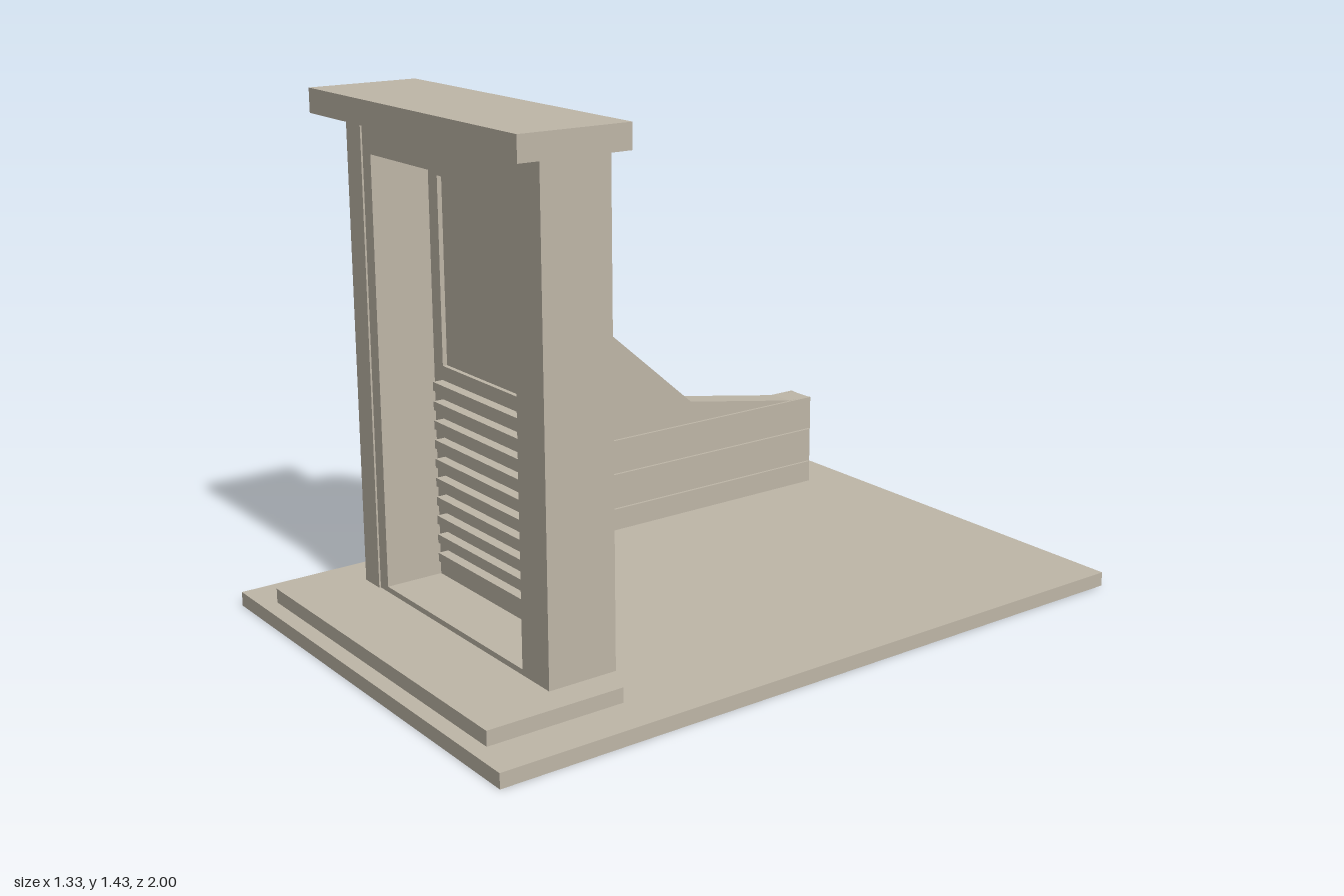
import * as THREE from 'three';

const stone = new THREE.MeshStandardMaterial({ color: 0xbfb7a8 });
stone.name = 'warm grey stone';

export function createModel() {
  const model = new THREE.Group();
  model.name = 'doorwayWithWall';

  const add = (name, geometry, parent = model) => {
    const mesh = new THREE.Mesh(geometry, stone);
    mesh.name = name;
    parent.add(mesh);
    return mesh;
  };
  // Box given by its minimum and maximum on each axis
  const box = (name, [x0, x1], [y0, y1], [z0, z1], parent) =>
    add(name, new THREE.BoxGeometry(x1 - x0, y1 - y0, z1 - z0)
      .translate((x0 + x1) / 2, (y0 + y1) / 2, (z0 + z1) / 2), parent);

  const rectangle = (Kind, x0, x1, y0, y1) => new Kind([
    [x0, y0], [x1, y0], [x1, y1], [x0, y1],
  ].map(([x, y]) => new THREE.Vector2(x, y)));
  // Upright slab with one rectangular opening
  const frame = (name, outer, inner, z0, z1) => {
    const shape = rectangle(THREE.Shape, ...outer);
    shape.holes.push(rectangle(THREE.Path, ...inner));
    return add(name, new THREE.ExtrudeGeometry(shape, { depth: z1 - z0, bevelEnabled: false })
      .translate(0, 0, z0));
  };

  // Ground slab, step and cap
  box('groundSlab', [-0.665, 0.665], [0, 0.04], [-1, 1]);
  box('frontStep', [-0.538, 0.538], [0.04, 0.08], [0.57, 0.955]);
  box('cap', [-0.492, 0.492], [1.365, 1.43], [0.5, 0.81]);

  // Door surround with a deep opening, and the pilaster on its right
  const opening = [-0.335, 0.333, 0.095, 1.27];
  frame('doorSurround', [-0.376, 0.45, 0.08, 1.365], opening, 0.53, 0.725);
  box('pilaster', [-0.45, -0.376], [0.08, 1.365], [0.53, 0.73]);

  // Door leaf with a sunk upper panel
  frame('doorLeaf', opening, [-0.29, 0.29, 0.695, 1.205], 0.53, 0.56);
  box('upperPanel', [-0.29, 0.29], [0.695, 1.205], [0.53, 0.547]);

  // Louvre slats on the lower half of the door
  const louvres = new THREE.Group();
  louvres.name = 'louvres';
  model.add(louvres);
  for (let i = 0; i < 10; i++) {
    const y = 0.162 + i * 0.0535;
    box('slat', [-0.293, 0.293], [y - 0.012, y + 0.012], [0.555, 0.59], louvres);
  }

  // Sweeping side wall, as a (z, y) outline
  const outline = [
    [0.53, 0.07], [0.53, 1.31], [0.4, 1.28], [0.12, 0.81], [-0.335, 0.415],
    [-0.72, 0.35], [-0.8, 0.348], [-0.807, 0.335], [-0.807, 0.07],
  ].map(([z, y]) => new THREE.Vector2(z, y));
  add('sideWall', new THREE.ExtrudeGeometry(new THREE.Shape(outline), { depth: 0.074, bevelEnabled: false })
    .rotateY(-Math.PI / 2).translate(-0.376, 0, 0));

  // Thin raised bands along both faces of the wall
  for (const y of [0.131, 0.238, 0.342]) {
    box('outerBand', [-0.459, -0.45], [y - 0.007, y + 0.007], [-0.8, 0.53]);
    box('innerBand', [-0.376, -0.368], [y - 0.007, y + 0.007], [-0.8, 0.53]);
  }

  return model;
}
